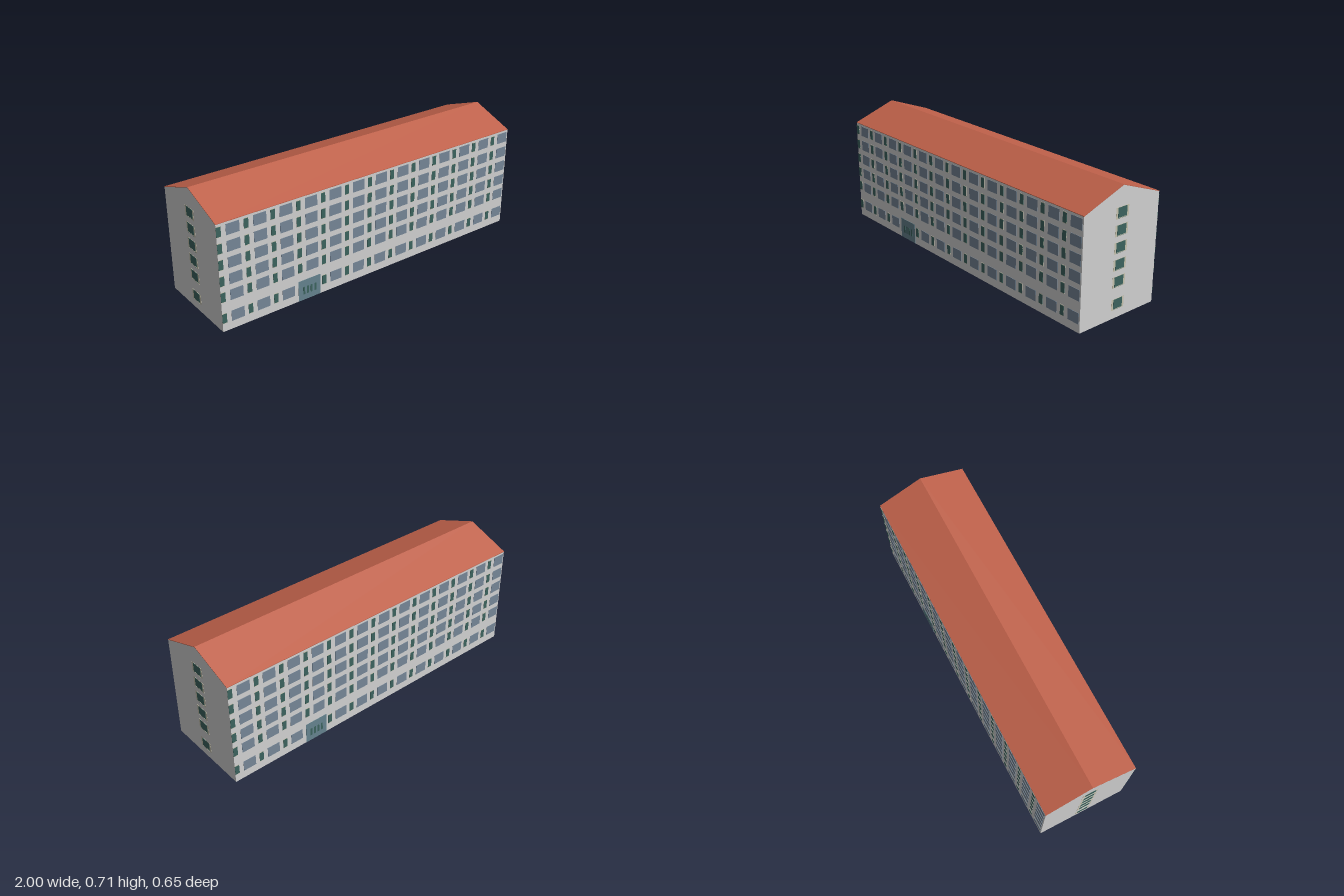
import * as THREE from 'three';
import { mergeGeometries } from 'three/addons/utils/BufferGeometryUtils.js';

const LENGTH = 1.971, DEPTH = 0.522, EAVES = 0.612, RIDGE = 0.707;
const BAYS = 13, PITCH = 0.1529, FIRST_BAY = -0.9726, DOOR_BAY = 3;
const FLOORS = [0.077, 0.2, 0.292, 0.384, 0.475, 0.567]; // window centre heights
const WIN_H = 0.06;

function material(name, color) {
  const m = new THREE.MeshStandardMaterial({ color });
  m.name = name;
  return m;
}

// Extrudes a gable-end outline along the length of the building
function alongLength(points, mat, name) {
  const shape = new THREE.Shape(points.map(([x, y]) => new THREE.Vector2(x, y)));
  const geo = new THREE.ExtrudeGeometry(shape, { depth: LENGTH, bevelEnabled: false });
  geo.translate(0, 0, -LENGTH / 2).rotateY(Math.PI / 2);
  const mesh = new THREE.Mesh(geo, mat);
  mesh.name = name;
  return mesh;
}

// Thin plate standing proud of a wall that faces +z at z = 0
function plate(x, y, w, h, proud) {
  return new THREE.BoxGeometry(w, h, proud).translate(x, y, proud / 2);
}

function merged(name, plates, mat) {
  const mesh = new THREE.Mesh(mergeGeometries(plates), mat);
  mesh.name = name;
  return mesh;
}

export function createModel() {
  const wall = material('wall', 0xd3d3d3);
  const roofTile = material('roofTile', 0xc0614a);
  const slate = material('slatePane', 0x778899);
  const green = material('greenPane', 0x3c645f);
  const beige = material('beigeFrame', 0xc8c4b0);
  const doorBlue = material('doorBlue', 0x668490);

  const building = new THREE.Group();
  building.name = 'building';
  const d = DEPTH / 2, t = 0.003;

  // Walls with both gables, and the thin roof skin flush with them
  building.add(alongLength(
    [[-d, 0], [d, 0], [d, EAVES - t], [0, RIDGE - t], [-d, EAVES - t]], wall, 'walls'));
  building.add(alongLength(
    [[-d, EAVES - t], [0, RIDGE - t], [d, EAVES - t], [d, EAVES], [0, RIDGE], [-d, EAVES]], roofTile, 'roof'));

  // Long facade: wide slate windows alternating with narrow green ones
  function facade(name) {
    const wide = [], frames = [], panes = [];
    FLOORS.forEach((y, floor) => {
      for (let i = 0; i < BAYS; i++) {
        if (floor === 0 && i === DOOR_BAY) continue;
        const x = FIRST_BAY + i * PITCH;
        wide.push(plate(x + 0.078, y, 0.075, WIN_H, 0.002));
        frames.push(plate(x, y, 0.026, WIN_H, 0.001));
        panes.push(plate(x, y, 0.026, WIN_H - 0.007, 0.002));
      }
    });
    const doorX = -0.457;
    const doorPanes = [-0.036, -0.012, 0.012, 0.036].map(
      (dx) => plate(doorX + dx, 0.057, 0.012, 0.045, 0.003));
    const side = new THREE.Group();
    side.name = name;
    side.add(
      merged('wideWindows', wide, slate),
      merged('narrowFrames', frames, beige),
      merged('narrowPanes', panes, green),
      merged('door', [plate(doorX, 0.061, 0.14, 0.12, 0.002)], doorBlue),
      merged('doorPanes', doorPanes, green));
    return side;
  }

  // Gable end: one centred window on each floor
  function gable(name) {
    const side = new THREE.Group();
    side.name = name;
    side.add(
      merged('gableFrames', FLOORS.map((y) => plate(0, y, 0.088, WIN_H, 0.001)), beige),
      merged('gablePanes', FLOORS.map((y) => plate(0, y, 0.062, WIN_H - 0.004, 0.002)), green),
      merged('gableSills', FLOORS.map((y) => plate(0, y - 0.025, 0.062, 0.002, 0.003)), beige));
    return side;
  }

  // The two long sides and the two ends repeat under a half turn
  for (const turn of [0, Math.PI]) {
    const s = turn ? -1 : 1;
    const front = facade(turn ? 'backFacade' : 'frontFacade');
    front.rotation.y = turn;
    front.position.z = s * d;
    const end = gable(turn ? 'rightGable' : 'leftGable');
    end.rotation.y = turn + Math.PI / 2;
    end.position.x = s * LENGTH / 2;
    building.add(front, end);
  }

  // The block stands slightly turned on its plot
  building.rotation.y = 0.062;
  const model = new THREE.Group();
  model.name = 'apartmentBlock';
  model.add(building);
  return model;
}
